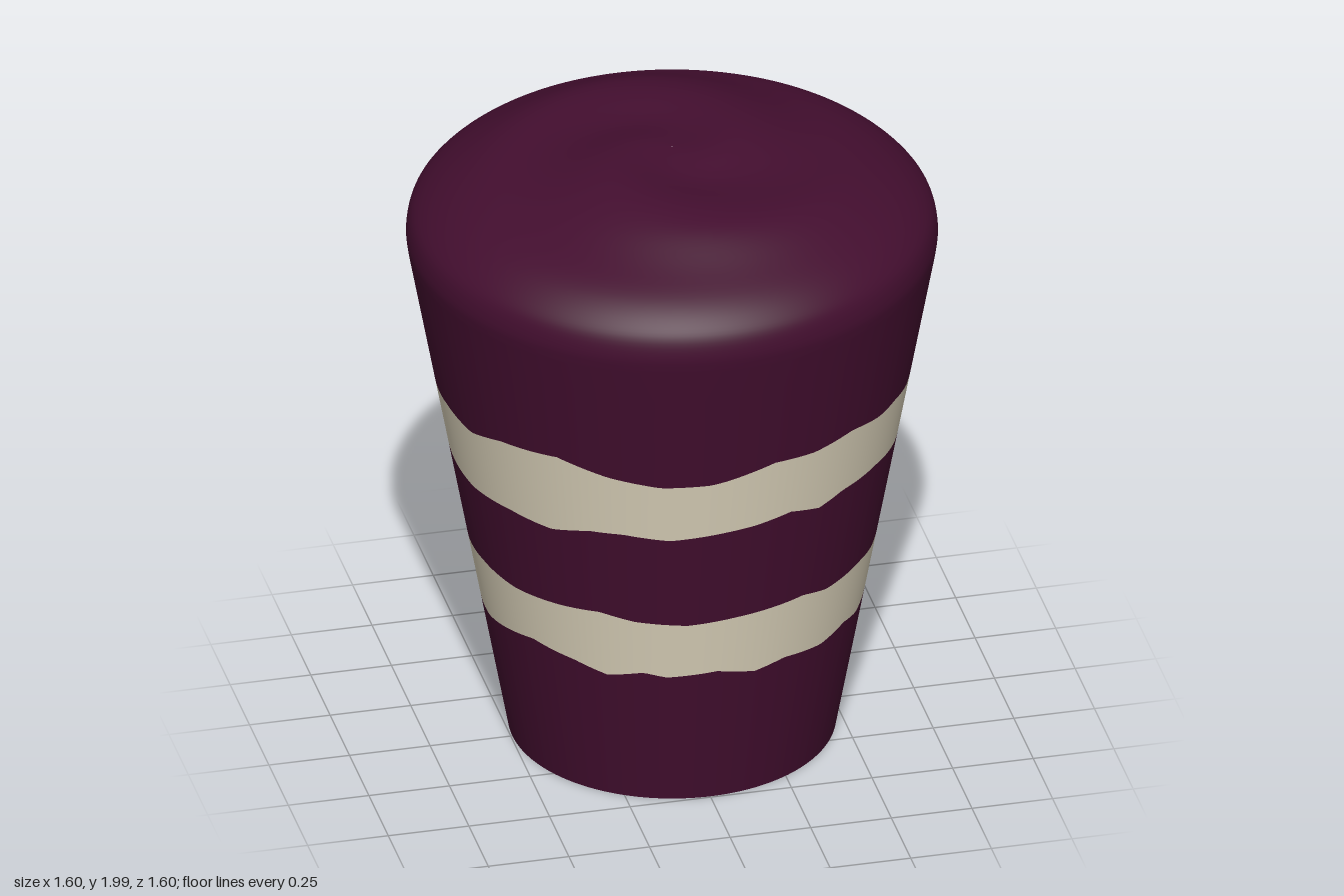
import * as THREE from 'three';

const SEG = 240;
const plum = new THREE.MeshStandardMaterial({ color: 0x430e2f });
plum.name = 'plum';
const cream = new THREE.MeshStandardMaterial({ color: 0xded5bd });
cream.name = 'cream';

const wallRadius = (y) => 0.495 + 0.183 * y;

// Ragged stripe edges: [angle in degrees from the front towards +x, height]
const lowerBottom = [[0, 0.485], [12, 0.46], [22, 0.48], [37, 0.465], [49, 0.485], [59, 0.465], [70, 0.485], [90, 0.46],
  [110, 0.465], [127, 0.485], [148, 0.465], [165, 0.445], [195, 0.46], [225, 0.45], [245, 0.465], [275, 0.46],
  [301, 0.51], [316, 0.49], [327, 0.46], [338, 0.485], [345, 0.47]];
const lowerTop = [[5, 0.685], [26, 0.7], [35, 0.68], [52, 0.69], [62, 0.68], [72, 0.692], [90, 0.69], [109, 0.7], [119, 0.68],
  [130, 0.655], [144, 0.685], [165, 0.7], [199, 0.67], [225, 0.645], [244, 0.655], [260, 0.68], [280, 0.69], [297, 0.68],
  [314, 0.69], [326, 0.7], [336, 0.68], [351, 0.67]];
const upperBottom = [[0, 1.02], [8, 1.03], [18, 1.05], [27, 1.025], [35, 1.05], [50, 1.055], [66, 1.035], [90, 1.035],
  [107, 1.01], [125, 0.98], [136, 0.985], [150, 1.03], [158, 1.02], [172, 1.06], [190, 1.04], [207, 1.05], [225, 1.01],
  [238, 1.03], [250, 1.01], [284, 0.98], [300, 0.99], [314, 0.98], [325, 1.01], [334, 1.015], [346, 1.0]];
const upperTop = [[0, 1.22], [12, 1.26], [23, 1.255], [35, 1.275], [46, 1.255], [55, 1.258], [65, 1.24], [78, 1.27], [94, 1.262],
  [100, 1.25], [106, 1.262], [119, 1.25], [129, 1.255], [137, 1.235], [155, 1.247], [180, 1.237], [195, 1.24], [212, 1.21],
  [227, 1.2], [241, 1.23], [257, 1.215], [276, 1.225], [289, 1.21], [301, 1.25], [318, 1.27], [331, 1.23], [344, 1.205], [356, 1.21]];

// Height of a stripe edge at an angle, wrapping around the cup
function edgeHeight(edge, deg) {
  const last = edge[edge.length - 1];
  const loop = [[last[0] - 360, last[1]], ...edge, [edge[0][0] + 360, edge[0][1]]];
  const k = loop.findIndex((p) => p[0] > deg);
  const [a, b] = [loop[k - 1], loop[k]];
  return a[1] + ((b[1] - a[1]) * (deg - a[0])) / (b[0] - a[0]);
}

// Closed surface of revolution whose section [radius, height] may vary with the angle
function sweep(rows, section) {
  const pos = [];
  const index = [];
  for (let j = 0; j <= rows; j++) {
    for (let i = 0; i < SEG; i++) {
      const t = (i / SEG) * Math.PI * 2;
      const [r, y] = section((i / SEG) * 360, j);
      pos.push(r * Math.sin(t), y, r * Math.cos(t));
      if (j === rows) continue;
      const n = (i + 1) % SEG;
      const [a, b, c, d] = [j * SEG + i, j * SEG + n, (j + 1) * SEG + n, (j + 1) * SEG + i];
      index.push(a, b, c, a, c, d);
    }
  }
  const geo = new THREE.BufferGeometry();
  geo.setAttribute('position', new THREE.Float32BufferAttribute(pos, 3));
  geo.setIndex(index);
  geo.computeVertexNormals();
  return geo;
}

// Wall section between two edges
function wall(low, high) {
  return sweep(2, (deg, j) => {
    const y = THREE.MathUtils.lerp(low(deg), high(deg), j / 2);
    return [wallRadius(y), y];
  });
}

// Upper wall running over the rounded shoulder into the swirled top
function crown(low) {
  const dome = new THREE.CatmullRomCurve3([[0.797, 1.65], [0.802, 1.7], [0.79, 1.76], [0.76, 1.802], [0.7, 1.85], [0.6, 1.9],
    [0.5, 1.937], [0.4, 1.96], [0.3, 1.974], [0.15, 1.982], [0.001, 1.984]]
    .map(([r, y]) => new THREE.Vector3(r, y, 0))).getPoints(44);
  return sweep(dome.length + 3, (deg, j) => {
    if (j < 4) {
      const y = THREE.MathUtils.lerp(low(deg), 1.65, j / 4);
      return [wallRadius(y), y];
    }
    const { x: r, y } = dome[Math.min(j - 4, dome.length - 1)];
    // Two shallow spiral ridges that fade at the centre and the shoulder
    const phase = THREE.MathUtils.degToRad((r - 0.28) / 0.0034 - deg - 45);
    const fade = THREE.MathUtils.smoothstep(r, 0, 0.25) * (1 - THREE.MathUtils.smoothstep(r, 0.45, 0.75));
    return [r, y + 0.016 * fade * Math.cos(2 * phase)];
  });
}

export function createModel() {
  const group = new THREE.Group();
  const add = (name, geo, mat) => {
    const mesh = new THREE.Mesh(geo, mat);
    mesh.name = name;
    group.add(mesh);
    return mesh;
  };
  const [e1, e2, e3, e4] = [lowerBottom, lowerTop, upperBottom, upperTop].map((e) => (deg) => edgeHeight(e, deg));

  add('lowerWall', wall(() => 0, e1), plum);
  add('lowerStripe', wall(e1, e2), cream);
  add('middleWall', wall(e2, e3), plum);
  add('upperStripe', wall(e3, e4), cream);
  add('crown', crown(e4), plum);
  add('base', new THREE.CircleGeometry(0.495, SEG).rotateX(Math.PI / 2), plum);
  return group;
}
